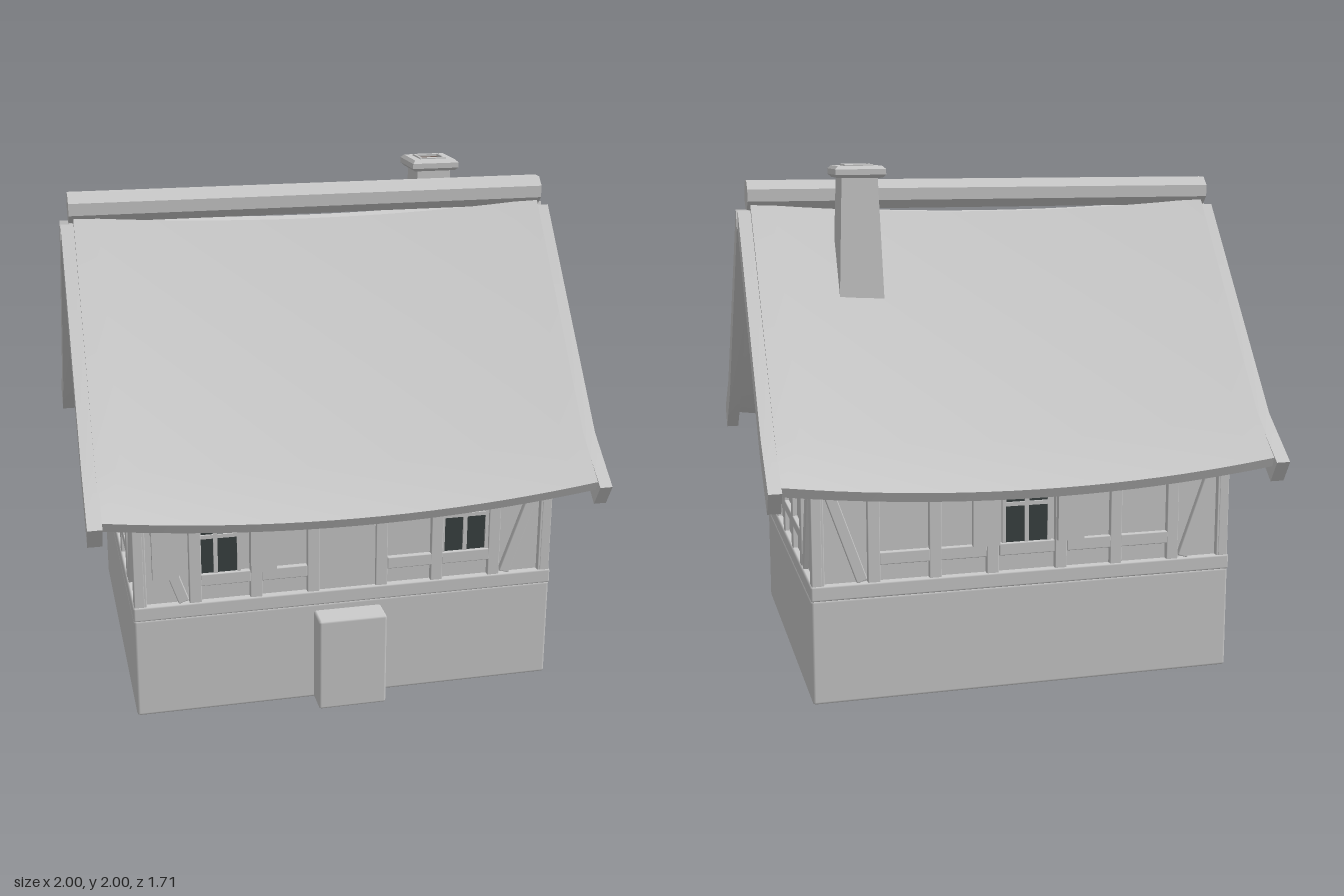
import * as THREE from 'three';
import { toCreasedNormals } from 'three/addons/utils/BufferGeometryUtils.js';
import { RoundedBoxGeometry } from 'three/addons/geometries/RoundedBoxGeometry.js';

const mat = (color) => new THREE.MeshStandardMaterial({ color });
const grey = mat(0xcccccc);
const glass = mat(0x3a4242);
const soot = mat(0x6a5a54);
const brass = mat(0x8a6a3a);

function add(parent, name, geometry, x = 0, y = 0, z = 0, material = grey) {
  const mesh = new THREE.Mesh(geometry, material);
  mesh.name = name;
  mesh.position.set(x, y, z);
  parent.add(mesh);
  return mesh;
}

// Sag of the old roof: deepest in the middle, growing towards the eaves
const sag = (x, z) => (0.04 + 0.03 * Math.abs(z)) * Math.max(0, 1 - (x / 0.95) ** 2);

// Extrude a (z, y) profile along x between x0 and x1, letting the part above y = 0.7 sag
function alongX(points, x0, x1, sagging = false) {
  const shape = new THREE.Shape(points.map(([z, y]) => new THREE.Vector2(-z, y)));
  const geometry = new THREE.ExtrudeGeometry(shape, { depth: x1 - x0, steps: sagging ? 20 : 1, bevelEnabled: false });
  geometry.rotateY(Math.PI / 2).translate(x0, 0, 0);
  if (sagging) {
    const p = geometry.attributes.position;
    for (let i = 0; i < p.count; i++) {
      if (p.getY(i) > 0.7) p.setY(i, p.getY(i) - sag(p.getX(i), p.getZ(i)));
    }
  }
  return toCreasedNormals(geometry, 0.3);
}

// Wall group: u runs along the wall, v is height, the outer face lies at the given distance
function wall(parent, name, distance, angle) {
  const turned = new THREE.Group();
  turned.name = name;
  turned.rotation.y = angle;
  parent.add(turned);
  const beam = (part, u0, v0, u1, v1, width = 0.048) => {
    const length = Math.hypot(u1 - u0, v1 - v0);
    const mesh = add(turned, part, new RoundedBoxGeometry(length, width, 0.04, 1, 0.004),
      (u0 + u1) / 2, (v0 + v1) / 2, distance);
    mesh.rotation.z = Math.atan2(v1 - v0, u1 - u0);
  };
  const box = (part, u0, u1, v0, v1, d0, d1, material) =>
    add(turned, part, new THREE.BoxGeometry(u1 - u0, v1 - v0, d1 - d0),
      (u0 + u1) / 2, (v0 + v1) / 2, distance + (d0 + d1) / 2, material);
  const windowAt = (u) => {
    box('windowGlass', u - 0.095, u + 0.095, 0.575, 0.86, 0, 0.006, glass);
    box('windowMullion', u - 0.008, u + 0.008, 0.575, 0.86, 0, 0.014);
    box('windowCrossbar', u - 0.095, u + 0.095, 0.72, 0.735, 0, 0.014);
    for (const s of [-1, 1]) box('windowFrame', u + s * 0.09 - 0.007, u + s * 0.09 + 0.007, 0.575, 0.86, 0, 0.014);
  };
  const shutter = (u0, u1) => {
    box('shutter', u0, u1, 0.58, 0.84, 0.025, 0.05);
  };
  return { beam, box, windowAt, shutter };
}

export function createModel() {
  const house = new THREE.Group();
  house.name = 'timberFramedHouse';

  // Stone base, doorstep and sill
  add(house, 'foundation', new RoundedBoxGeometry(1.67, 0.41, 1.36, 1, 0.012), 0, 0.205, 0);
  add(house, 'doorstep', new RoundedBoxGeometry(0.27, 0.38, 0.16, 1, 0.01), 0, 0.19, 0.7);
  add(house, 'sill', new RoundedBoxGeometry(1.67, 0.06, 1.37, 1, 0.008), 0, 0.435, 0);

  // Plaster body with gables
  const body = [[0.66, 0.44], [0.66, 0.99], [0, 1.83], [-0.66, 0.99], [-0.66, 0.44]];
  add(house, 'plasterWalls', alongX(body, -0.81, 0.81, true));

  // Long walls
  for (const [name, angle] of [['frontWall', 0], ['backWall', Math.PI]]) {
    const { beam, box, windowAt, shutter } = wall(house, name, 0.66, angle);
    beam('wallPlate', -0.83, 0.875, 0.83, 0.875);
    for (const s of [-1, 1]) {
      for (const u of [0.806, 0.595, 0.36, 0.136]) beam('post', s * u, 0.46, s * u, 0.89);
      beam('brace', s * 0.64, 0.47, s * 0.775, 0.86, 0.042);
      beam('lowerRail', s * 0.38, 0.553, s * 0.575, 0.553);
      beam('lowerRail', s * 0.16, 0.553, s * 0.34, 0.553);
    }
    if (angle === 0) {
      windowAt(-0.515);
      windowAt(0.475);
      shutter(-0.76, -0.66);
      shutter(-0.385, -0.285);
      box('door', -0.112, 0.112, 0.46, 0.86, 0, 0.01);
      box('lanternBracket', 0.176, 0.188, 0.8, 0.812, 0, 0.06);
      box('lantern', 0.165, 0.2, 0.765, 0.8, 0.03, 0.065, brass);
    } else {
      windowAt(0);
      beam('lowerRail', -0.11, 0.553, 0.11, 0.553);
      shutter(-0.22, -0.115);
      shutter(0.115, 0.22);
    }
  }

  // Gable walls
  for (const [name, angle] of [['leftGable', Math.PI / 2], ['rightGable', -Math.PI / 2]]) {
    const { beam } = wall(house, name, 0.81, angle);
    beam('tieBeam', -0.69, 0.963, 0.69, 0.963, 0.046);
    beam('collarBeam', -0.31, 1.375, 0.31, 1.375, 0.042);
    beam('kingPost', 0, 0.98, 0, 1.77, 0.044);
    for (const s of [-1, 1]) {
      beam('cornerPost', s * 0.657, 0.46, s * 0.657, 0.95);
      beam('brace', s * 0.43, 0.47, s * 0.615, 0.935, 0.042);
      for (const u of [0.38, 0.13]) beam('post', s * u, 0.46, s * u, 0.95, 0.044);
      beam('gablePost', s * 0.208, 0.98, s * 0.208, 1.53, 0.04);
      beam('gableRafter', s * 0.66, 0.965, 0, 1.79, 0.05);
    }
    for (const u of [-0.255, 0, 0.255]) {
      for (const v of [0.577, 0.85]) beam('rail', u - 0.11, v, u + 0.11, v, 0.042);
    }
  }

  // Roof slopes, flared at the eaves, and verge boards
  for (const s of [-1, 1]) {
    const side = s > 0 ? 'front' : 'back';
    const orient = (points) => (s > 0 ? points : points.map(([z, y]) => [-z, y]));
    const slope = [[0.04, 1.84], [0.66, 1.03], [0.83, 0.885], [0.815, 0.848], [0.64, 0.99], [0.0, 1.82]];
    add(house, side + 'RoofSlope', alongX(orient(slope), -0.95, 0.95, true));
    const verge = [[0.04, 1.815], [0.66, 1.025], [0.855, 0.87], [0.805, 0.785], [0.61, 0.965], [0.015, 1.74]];
    add(house, side + 'RightVergeBoard', alongX(orient(verge), -1, -0.945));
    add(house, side + 'LeftVergeBoard', alongX(orient(verge), 0.95, 1));
  }

  // Eight-sided ridge log
  const ridge = new THREE.CylinderGeometry(0.062, 0.062, 1.93, 8).toNonIndexed();
  ridge.computeVertexNormals();
  ridge.rotateX(0).rotateY(Math.PI / 8).rotateZ(Math.PI / 2);
  add(house, 'ridgeLog', ridge, -0.003, 1.873, 0);

  // Chimney with a bevelled cap and flue
  const chimney = new THREE.Group();
  chimney.name = 'chimney';
  chimney.position.set(0.555, 0, -0.2);
  house.add(chimney);
  const stack = new THREE.CylinderGeometry(0.07 * Math.SQRT2, 0.09 * Math.SQRT2, 0.55, 4).toNonIndexed();
  stack.computeVertexNormals();
  stack.rotateY(Math.PI / 4);
  add(chimney, 'chimneyStack', stack, 0, 1.675, 0);
  const square = (Type, h) => new Type([[-h, -h], [h, -h], [h, h], [-h, h]].map(([a, b]) => new THREE.Vector2(a, b)));
  const ring = (outer, inner, depth, bevel) => {
    const shape = square(THREE.Shape, outer - bevel);
    shape.holes.push(square(THREE.Path, inner + bevel));
    return new THREE.ExtrudeGeometry(shape, { depth: depth - 2 * bevel, bevelEnabled: true, bevelThickness: bevel,
      bevelSize: bevel, bevelSegments: 1 }).translate(0, 0, bevel).rotateX(-Math.PI / 2);
  };
  add(chimney, 'chimneyCap', ring(0.098, 0.04, 0.045, 0.012), 0, 1.945, 0);
  add(chimney, 'flueRim', ring(0.056, 0.045, 0.03, 0.002), 0, 1.966, 0);
  add(chimney, 'flue', new THREE.BoxGeometry(0.095, 0.04, 0.095), 0, 1.965, 0, soot);

  return house;
}
